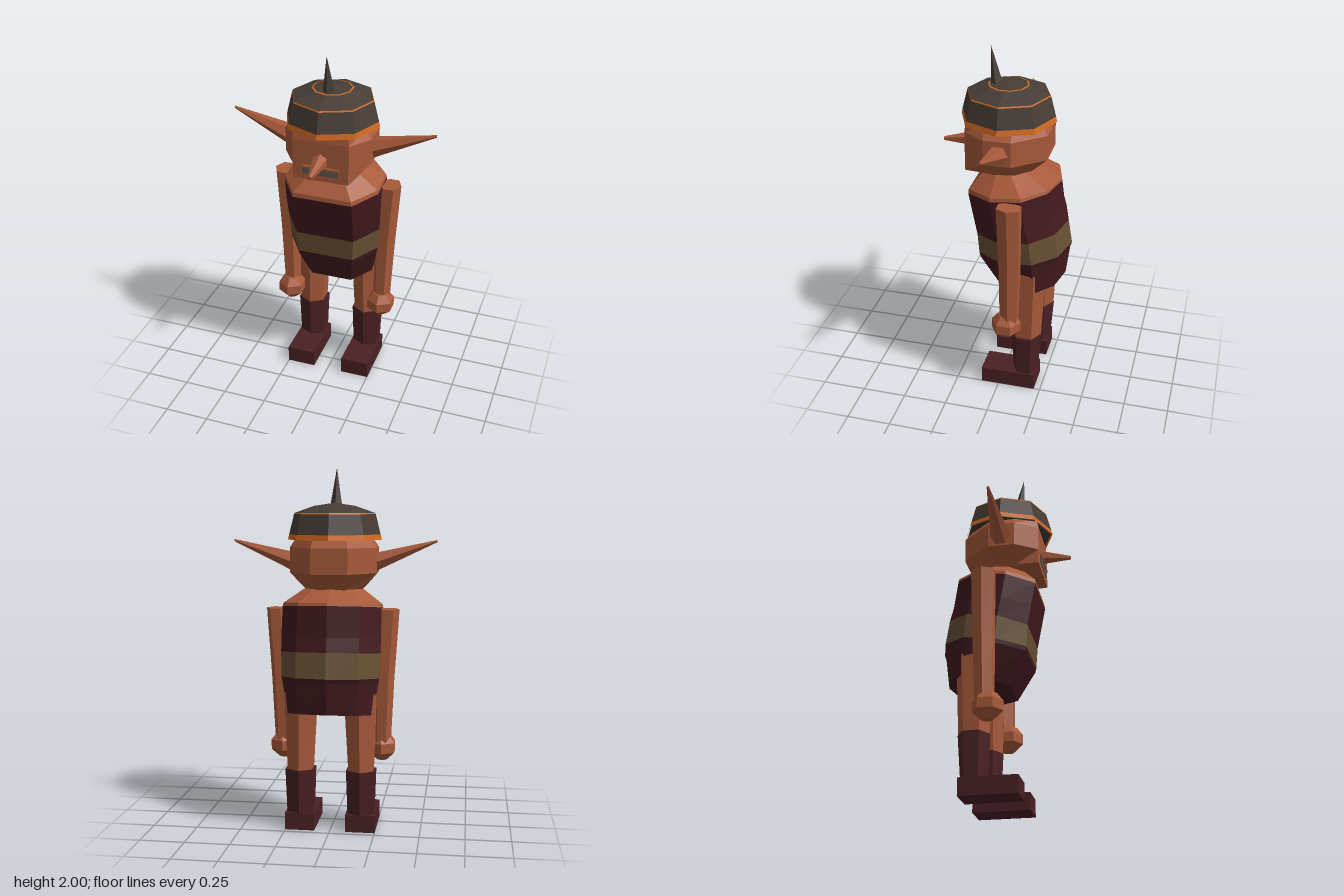
import * as THREE from 'three';

const mat = (name, color, side = THREE.FrontSide) => {
  const m = new THREE.MeshStandardMaterial({ color, side, flatShading: true });
  m.name = name;
  return m;
};

// Skin through closed rings of points, listed bottom to top, with flat caps.
function loft(rings, capBottom = true, capTop = true) {
  const pos = [];
  const tri = (...pts) => pts.forEach((p) => pos.push(...p));
  const n = rings[0].length;
  const centre = (r) => [0, 1, 2].map((k) => r.reduce((s, p) => s + p[k], 0) / n);
  for (let j = 0; j < n; j++) {
    const k = (j + 1) % n;
    for (let i = 0; i < rings.length - 1; i++) {
      const a = rings[i], b = rings[i + 1];
      tri(a[j], a[k], b[k]);
      tri(a[j], b[k], b[j]);
    }
    const low = rings[0], high = rings[rings.length - 1];
    if (capBottom) tri(centre(low), low[k], low[j]);
    if (capTop) tri(centre(high), high[j], high[k]);
  }
  const g = new THREE.BufferGeometry();
  g.setAttribute('position', new THREE.Float32BufferAttribute(pos, 3));
  g.computeVertexNormals();
  return g;
}

// Regular horizontal ring.
const ring = (n, r, y, x = 0, z = 0, rz = r, turn = 0) =>
  Array.from({ length: n }, (_, i) => {
    const a = (i / n) * Math.PI * 2 + turn;
    return [x + r * Math.sin(a), y, z + rz * Math.cos(a)];
  });

// Tilted torso ring: front and back depth, height and half width.
const bodyRing = (zF, yF, zB, yB, wF, wB) =>
  Array.from({ length: 10 }, (_, i) => {
    const a = (i / 10) * Math.PI * 2;
    let c = Math.cos(a);
    if (c > 0) c = Math.min(1, c / 0.8);
    const t = (1 + c) / 2;
    const mix = (b, f) => b + (f - b) * t;
    return [Math.sin(a) * mix(wB, wF), mix(yB, yF), mix(zB, zF)];
  });

// Head ring from its half outline, front to back.
const headRing = (y, half) => [
  ...half.map(([x, z]) => [x, y, z]),
  ...half.slice().reverse().map(([x, z]) => [-x, y, z]),
];

// Tapered spike between two points.
function spike(from, to, r0, r1, sides) {
  const a = new THREE.Vector3(...from), b = new THREE.Vector3(...to);
  const d = b.clone().sub(a);
  const g = new THREE.CylinderGeometry(r1, r0, d.length(), sides);
  g.applyQuaternion(new THREE.Quaternion().setFromUnitVectors(new THREE.Vector3(0, 1, 0), d.normalize()));
  const mid = a.add(b).multiplyScalar(0.5);
  return g.translate(mid.x, mid.y, mid.z);
}

export function createModel() {
  const model = new THREE.Group();
  model.name = 'goblin';
  const skin = mat('skin', 0xa85a3a);
  const cloth = mat('dark cloth', 0x42191f);
  const boot = mat('boot leather', 0x4a2024);
  const belt = mat('belt', 0x685033);
  const iron = mat('helmet iron', 0x463d36);
  const trim = mat('orange trim', 0xd2691e, THREE.DoubleSide);
  const teeth = mat('teeth', 0x5c5850);

  const add = (name, geometry, material, parent = model) => {
    const m = new THREE.Mesh(geometry, material);
    m.name = name;
    parent.add(m);
    return m;
  };

  // Torso in bands that share their boundary rings
  const hem = bodyRing(0.03, 0.63, -0.335, 0.685, 0.2, 0.27);
  const hip = bodyRing(0.125, 0.81, -0.357, 0.86, 0.265, 0.285);
  const beltLow = bodyRing(0.13, 0.835, -0.366, 0.885, 0.268, 0.29);
  const beltHigh = bodyRing(0.138, 0.96, -0.343, 1.025, 0.28, 0.29);
  const chest = bodyRing(0.16, 1.08, -0.322, 1.1, 0.285, 0.29);
  const collar = bodyRing(0.185, 1.21, -0.3, 1.27, 0.285, 0.285);
  const shoulder = bodyRing(0.183, 1.235, -0.295, 1.285, 0.28, 0.28);
  const neckBase = bodyRing(0.11, 1.325, -0.14, 1.35, 0.17, 0.17);
  add('tunicSkirt', loft([hem, hip, beltLow], true, false), cloth);
  add('belt', loft([beltLow, beltHigh], false, false), belt);
  add('tunicChest', loft([beltHigh, chest, collar], false, false), cloth);
  add('shoulders', loft([collar, shoulder, neckBase], false, true), skin);

  // Head with a flat face and faceted back
  add('head', loft([
    headRing(1.33, [[0.14, 0.08], [0.15, 0.05], [0.14, -0.06], [0.07, -0.13]]),
    headRing(1.345, [[0.155, 0.203], [0.165, 0.08], [0.155, -0.07], [0.075, -0.15]]),
    headRing(1.43, [[0.155, 0.203], [0.24, 0.08], [0.24, -0.07], [0.1, -0.235]]),
    headRing(1.57, [[0.155, 0.203], [0.24, 0.08], [0.24, -0.07], [0.1, -0.235]]),
    headRing(1.625, [[0.15, 0.195], [0.2, 0.08], [0.2, -0.07], [0.09, -0.2]]),
  ]), skin);
  add('nose', spike([0, 1.462, 0.19], [0, 1.443, 0.365], 0.045, 0.012, 6), skin);
  const mouth = add('teeth', new THREE.BoxGeometry(0.2, 0.035, 0.008), teeth);
  mouth.position.set(0, 1.397, 0.204);
  const lip = add('upperLip', new THREE.BoxGeometry(0.21, 0.012, 0.016), skin);
  lip.position.set(0, 1.422, 0.206);

  // Helmet
  const helmet = new THREE.Group();
  helmet.name = 'helmet';
  model.add(helmet);
  const rim = ring(8, 0.256, 1.64), brow = ring(8, 0.228, 1.75);
  const edge = ring(8, 0.224, 1.757), crown = ring(8, 0.115, 1.795);
  add('helmetWall', loft([rim, brow], false, false), iron, helmet);
  add('helmetUnderside', loft([ring(8, 0.252, 1.612), ring(8, 0.252, 1.63)]), iron, helmet);
  add('helmetRim', loft([ring(8, 0.263, 1.61), rim], false, false), trim, helmet);
  add('helmetEdge', loft([brow, edge], false, false), trim, helmet);
  add('helmetTop', loft([edge, crown, ring(8, 0.002, 1.812)], false, true), iron, helmet);
  add('crownRing', loft([ring(10, 0.112, 1.7985), ring(10, 0.103, 1.8005)], false, false), trim, helmet);
  add('helmetSpike', loft([ring(4, 0.035, 1.785, 0, 0.062), ring(4, 0.001, 2, 0, 0.096)]), iron, helmet);

  // Mirrored parts: left is +x
  for (const [s, side] of [[1, 'left'], [-1, 'right']]) {
    const ear = spike([0, 0, 0], [0.36, 0, 0], 0.062, 0.007, 6);
    // Slant the ear upward and keep its root upright
    const p = ear.attributes.position;
    for (let i = 0; i < p.count; i++) {
      p.setXYZ(i, s * (0.208 + p.getX(i)), 1.48 + p.getY(i) + p.getX(i) * 0.345, p.getZ(i));
    }
    if (s < 0) {
      const index = ear.index.array;
      for (let i = 0; i < index.length; i += 3) [index[i], index[i + 1]] = [index[i + 1], index[i]];
    }
    ear.computeVertexNormals();
    add(side + 'Ear', ear, skin);

    const t = Math.PI / 6;
    add(side + 'Arm', loft([
      ring(6, 0.05, 0.49, s * 0.278, -0.072, 0.055, t),
      ring(6, 0.06, 0.86, s * 0.285, -0.078, 0.065, t),
      ring(6, 0.058, 1.235, s * 0.312, -0.078, 0.072, t),
    ]), skin);
    add(side + 'Hand', loft([
      ring(6, 0.03, 0.385, s * 0.278, -0.055, 0.036),
      ring(6, 0.08, 0.43, s * 0.278, -0.055, 0.083),
      ring(6, 0.08, 0.485, s * 0.278, -0.055, 0.083),
      ring(6, 0.045, 0.528, s * 0.278, -0.055, 0.05),
    ]), skin);
    add(side + 'Leg', loft([
      ring(6, 0.078, 0.34, s * 0.17, -0.15, 0.085),
      ring(6, 0.1, 0.78, s * 0.165, -0.155, 0.1),
    ]), skin);
    add(side + 'BootShaft', loft([
      ring(6, 0.084, 0.09, s * 0.17, -0.146, 0.073),
      ring(6, 0.093, 0.345, s * 0.17, -0.15, 0.088),
    ]), boot);
    const foot = add(side + 'Foot', new THREE.BoxGeometry(0.165, 0.097, 0.315), boot);
    foot.position.set(s * 0.169, 0.0485, -0.057);
  }
  return model;
}
